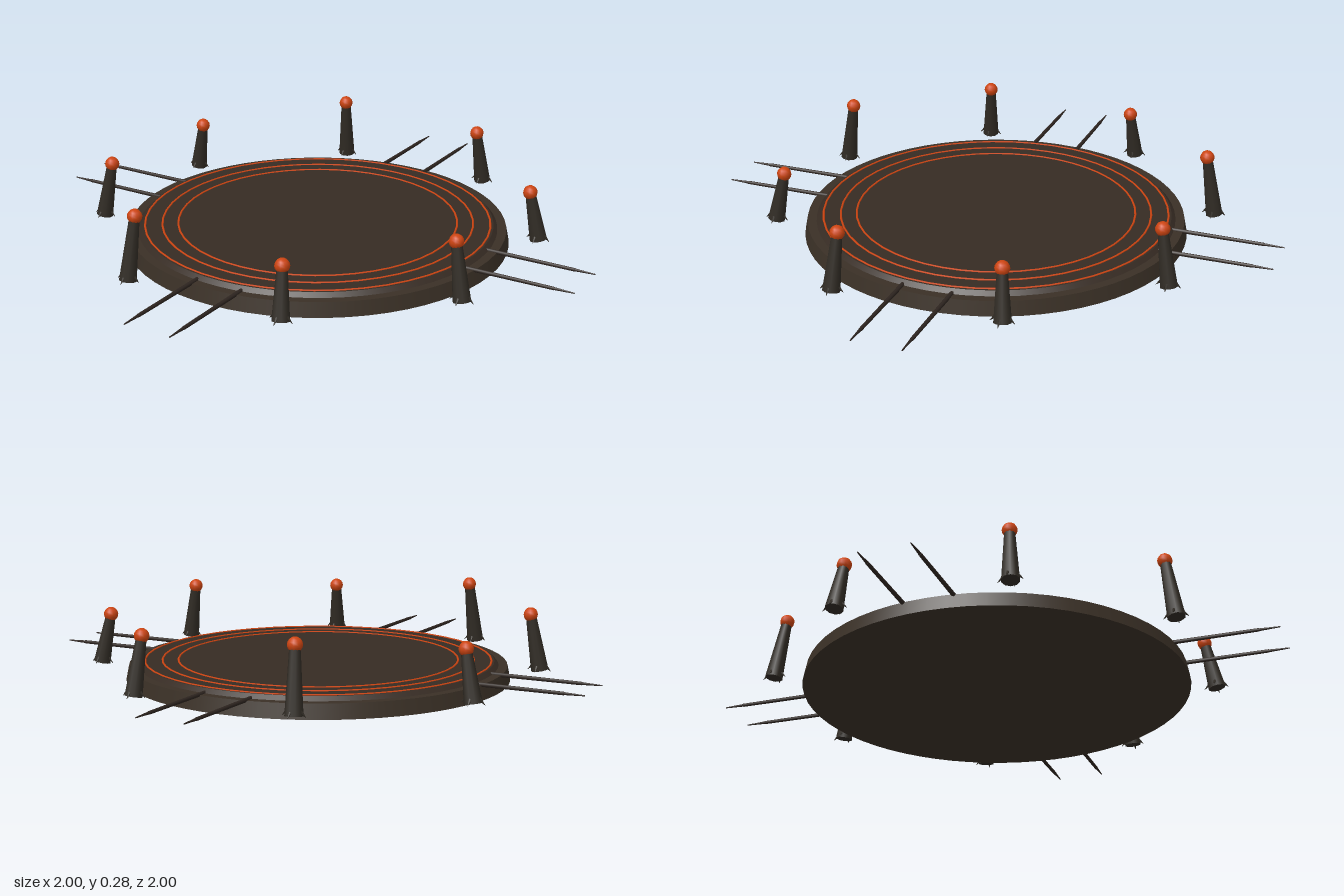
import * as THREE from 'three';

const material = (name, color) => new THREE.MeshStandardMaterial({ name, color });

export function createModel() {
  const model = new THREE.Group();
  model.name = 'ritualPlatform';
  const stone = material('dark stone', 0x3a3026);
  const slab = material('brown slab', 0x362b23);
  const basalt = material('pillar stone', 0x302b24);
  const iron = material('dark iron', 0x2e2520);
  const ember = material('ember orange', 0xcc4411);

  const add = (parent, name, geometry, mat) => {
    const mesh = new THREE.Mesh(geometry, mat);
    mesh.name = name;
    parent.add(mesh);
    return mesh;
  };

  // Tapered round rod between two points
  const rod = (parent, name, from, to, r0, r1, sides, mat) => {
    const dir = to.clone().sub(from);
    const mesh = add(parent, name, new THREE.CylinderGeometry(r1, r0, dir.length(), sides), mat);
    mesh.position.copy(from).add(to).multiplyScalar(0.5);
    mesh.quaternion.setFromUnitVectors(new THREE.Vector3(0, 1, 0), dir.normalize());
    return mesh;
  };
  const V = (x, y, z) => new THREE.Vector3(x, y, z);

  // Round platform: a wide base and a slightly smaller raised slab
  const base = add(model, 'platformBase', new THREE.CylinderGeometry(0.655, 0.665, 0.05, 64), stone);
  base.position.y = 0.025;
  const top = add(model, 'platformTop', new THREE.CylinderGeometry(0.61, 0.625, 0.015, 64), slab);
  top.position.y = 0.0565;

  // Thin glowing rings set into the slab
  for (const radius of [0.485, 0.54, 0.6]) {
    const ring = add(model, 'glowRing', new THREE.TorusGeometry(radius, 0.004, 6, 48), ember);
    ring.rotation.x = Math.PI / 2;
    ring.position.y = 0.0635;
  }

  // A pair of long spikes on each of the four sides
  for (let side = 0; side < 4; side++) {
    const pair = new THREE.Group();
    pair.name = 'spikePair';
    pair.rotation.y = side * Math.PI / 2;
    for (const x of [-0.085, 0.085]) {
      rod(pair, 'spikeShaft', V(x, 0.05, 0.61), V(x, 0.05, 0.93), 0.0075, 0.006, 8, iron);
      rod(pair, 'spikeTip', V(x, 0.05, 0.93), V(x, 0.05, 1), 0.005, 0.002, 8, iron);
    }
    model.add(pair);
  }

  // Eight inward-leaning pillars with ember orbs, in three repeating heights
  const orbHeights = [0.228, 0.205, 0.25];
  for (let i = 0; i < 8; i++) {
    const angle = (i + 0.5) * Math.PI / 4;
    const at = (r, y) => V(Math.cos(angle) * r, y, Math.sin(angle) * r);
    const orbY = orbHeights[i % 3];
    const pillar = new THREE.Group();
    pillar.name = 'pillar';
    rod(pillar, 'pillarShaft', at(0.765, 0.035), at(0.732, orbY - 0.01), 0.03, 0.018, 10, basalt);
    const orb = add(pillar, 'orb', new THREE.SphereGeometry(0.025, 10, 8), ember);
    orb.position.copy(at(0.73, orbY));

    // Four small claws around the foot
    const foot = at(0.763, 0);
    for (let k = 0; k < 4; k++) {
      const c = Math.cos(k * Math.PI / 2), s = Math.sin(k * Math.PI / 2);
      rod(pillar, 'claw', V(foot.x + c * 0.02, 0.055, foot.z + s * 0.02),
        V(foot.x + c * 0.042, 0.034, foot.z + s * 0.042), 0.007, 0.0005, 6, basalt);
    }
    model.add(pillar);
  }
  return model;
}
